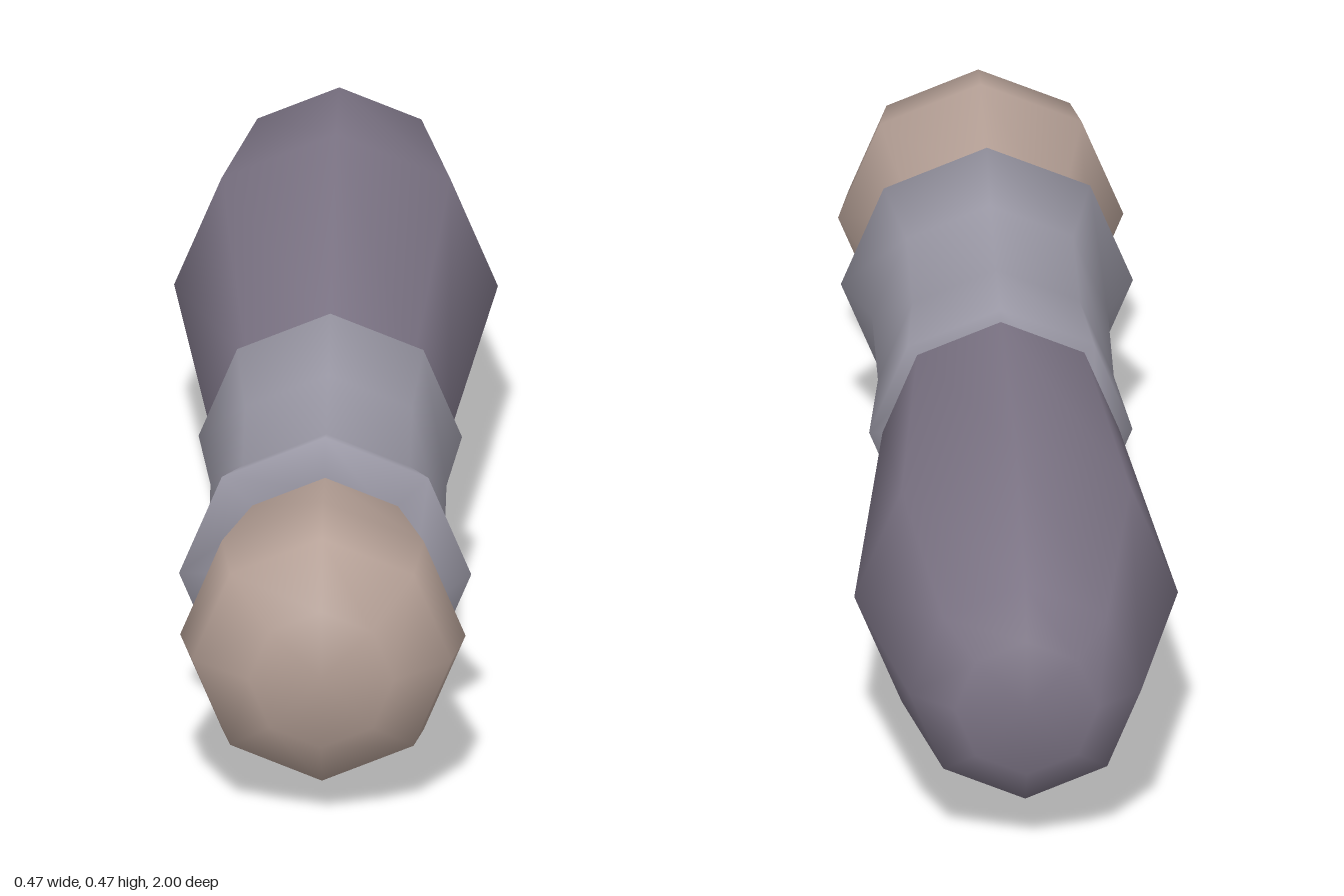
import * as THREE from 'three';

const AXIS_HEIGHT = 0.236;

// Eight-sided smooth turned part lying along z; profile is [radius, z] from back to front
function turned(name, profile, material) {
  const points = profile.map(([r, z]) => new THREE.Vector2(r, z));
  const geometry = new THREE.LatheGeometry(points, 8);
  geometry.rotateX(Math.PI / 2);
  const mesh = new THREE.Mesh(geometry, material);
  mesh.name = name;
  mesh.position.y = AXIS_HEIGHT;
  return mesh;
}

function paint(name, color) {
  const material = new THREE.MeshStandardMaterial({ color });
  material.name = name;
  return material;
}

export function createModel() {
  const group = new THREE.Group();
  group.name = 'turnedHandle';

  // Swelling grip with a chamfered butt
  group.add(turned('grip', [
    [0, -1], [0.105, -1], [0.169, -0.94], [0.236, -0.58], [0.172, 0.03], [0.165, 0.1],
  ], paint('dusky purple', 0x7d7586)));

  // Waisted metal sleeve, flared at both ends
  group.add(turned('sleeve', [
    [0.14, 0.025], [0.192, 0.025], [0.172, 0.22], [0.172, 0.455], [0.213, 0.575], [0.13, 0.575],
  ], paint('pale grey', 0x9c9aa7)));

  // Rounded tip emerging from the sleeve
  group.add(turned('tip', [
    [0.14, 0.5], [0.15, 0.575], [0.208, 0.82], [0.189, 0.92], [0.106, 1], [0, 1],
  ], paint('warm beige', 0xb49f95)));

  return group;
}
